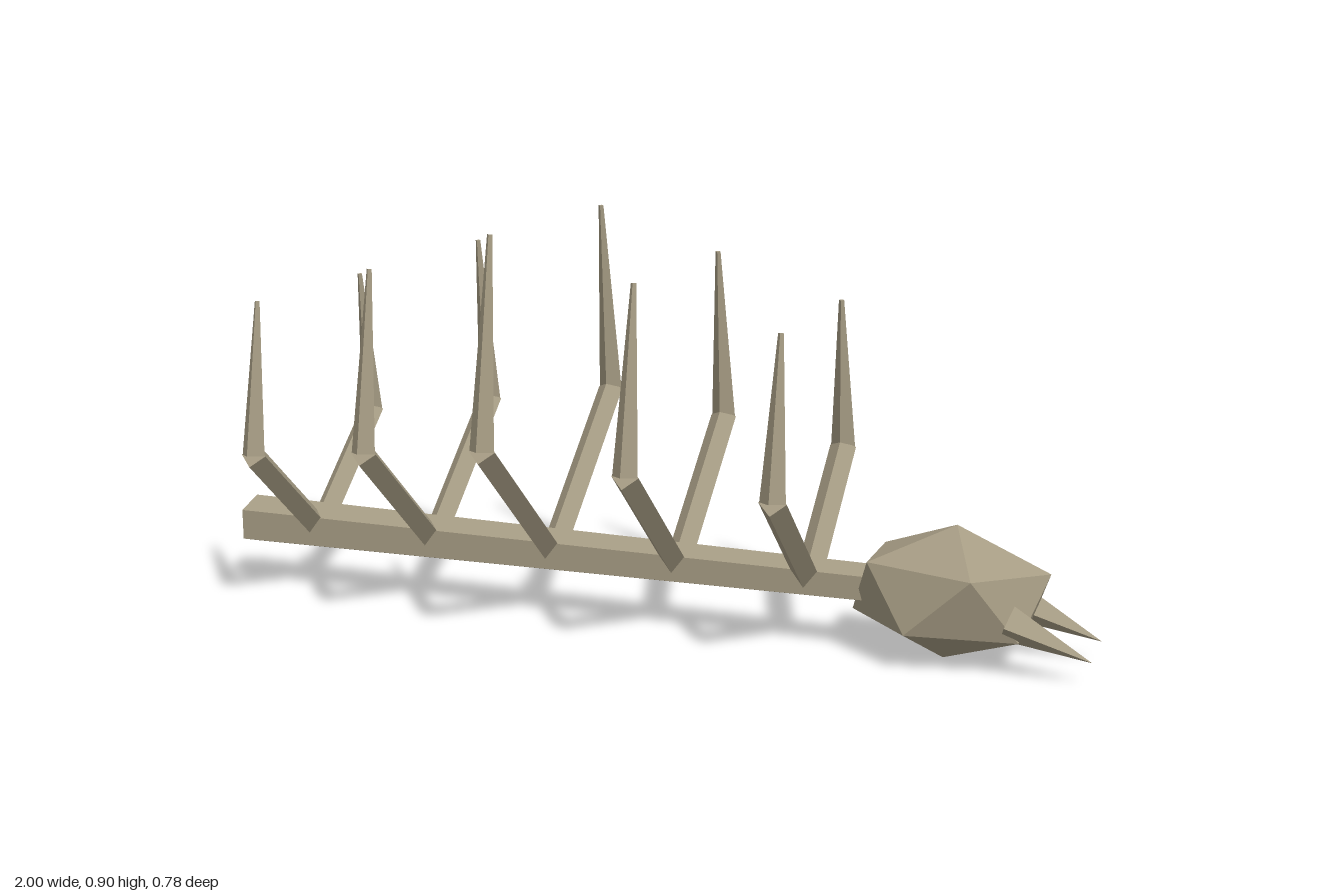
import * as THREE from 'three';

const V = (x, y, z) => new THREE.Vector3(x, y, z);

export function createModel() {
  const model = new THREE.Group();
  const bone = new THREE.MeshStandardMaterial({ color: 0xa59b83, flatShading: true });
  bone.name = 'bone';

  const add = (name, geometry, parent = model) => {
    const mesh = new THREE.Mesh(geometry, bone);
    mesh.name = name;
    parent.add(mesh);
    return mesh;
  };

  // Tapered faceted bar running from point a to point b
  const bar = (name, a, b, r0, r1, sides = 4, start = 0, parent = model) => {
    const dir = b.clone().sub(a);
    const mesh = add(name, new THREE.CylinderGeometry(r1, r0, dir.length(), sides, 1, false, start), parent);
    mesh.position.copy(a).add(b).multiplyScalar(0.5);
    mesh.quaternion.setFromUnitVectors(V(0, 1, 0), dir.normalize());
    return mesh;
  };

  // Five-sided backbone
  bar('spine', V(-1, 0.147, 0), V(0.54, 0.147, 0), 0.06, 0.044, 5, Math.PI);

  // Rib pairs, tallest in the middle: [elbow z, elbow y, tip z, tip y]
  const small = [0.275, 0.38, 0.233, 0.72];
  const medium = [0.32, 0.419, 0.269, 0.81];
  const large = [0.363, 0.457, 0.306, 0.9];
  [small, medium, large, medium, small].forEach(([ez, ey, tz, ty], i) => {
    const pair = new THREE.Group();
    pair.name = 'ribPair';
    const x = -0.82 + 0.3 * i;
    for (const s of [1, -1]) {
      const elbow = V(x, ey, s * ez);
      bar('lowerRib', V(x, 0.143, 0), elbow, 0.03, 0.03, 4, 0, pair);
      bar('upperRib', elbow, V(x, ty, s * tz), 0.028, 0.006, 4, 0, pair);
    }
    model.add(pair);
  });

  // Faceted skull, stretched along the spine
  const skull = new THREE.IcosahedronGeometry(1, 0);
  skull.rotateZ(-0.6);
  skull.scale(0.229, 0.147, 0.158);
  add('skull', skull).position.set(0.69, 0.15, 0);

  // Two downward-pointing fangs
  for (const s of [1, -1]) {
    bar('fang', V(0.825, 0.118, s * 0.073), V(1, 0.053, s * 0.073), 0.04, 0, 4);
  }

  return model;
}
